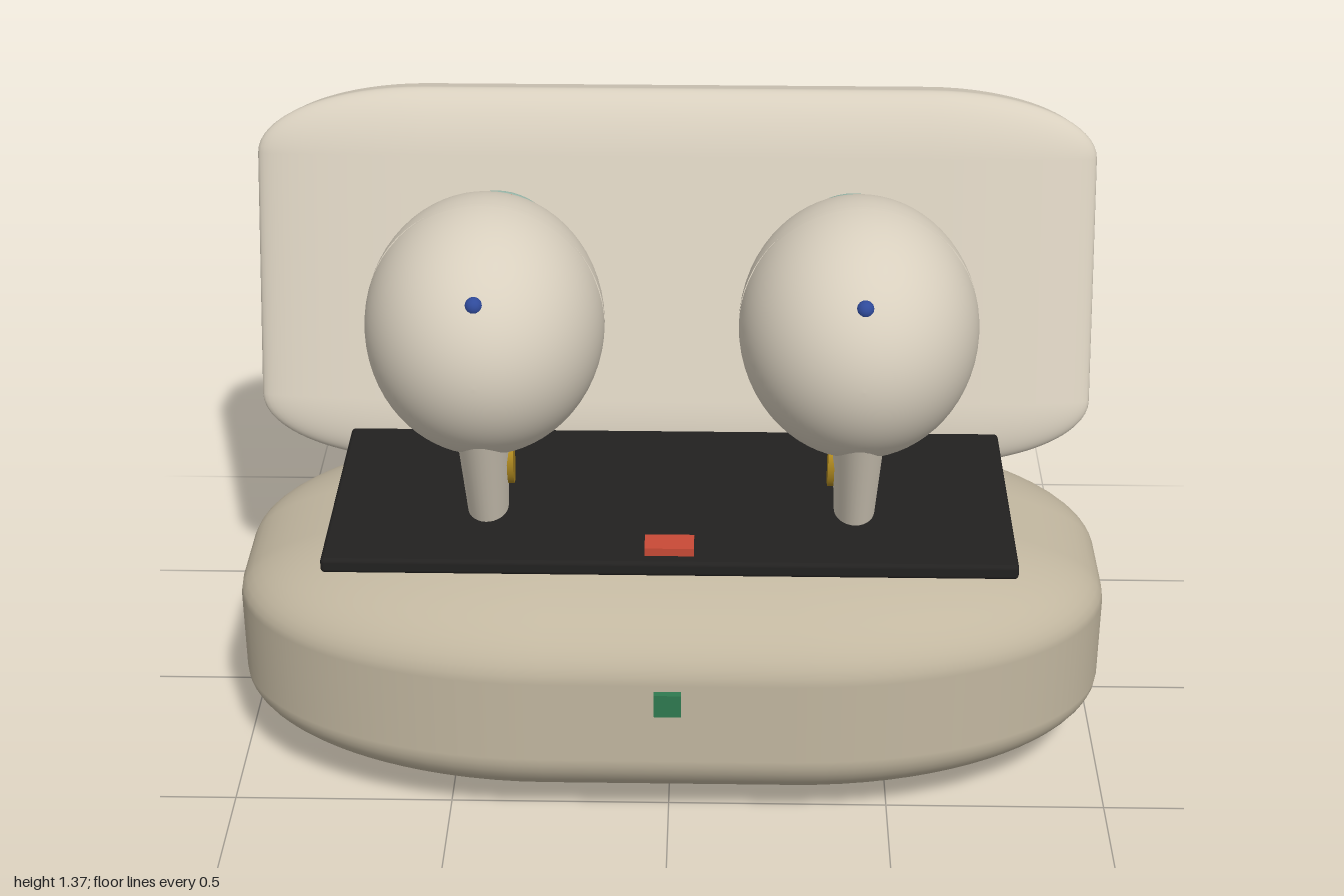
import * as THREE from 'three';
import { RoundedBoxGeometry } from 'three/addons/geometries/RoundedBoxGeometry.js';

const mat = (color, side = THREE.FrontSide) => new THREE.MeshStandardMaterial({ color, side });
const shell = mat(0xd8cfbe), lower = mat(0xc2b7a0), dark = mat(0x222120), red = mat(0xc84a36),
  green = mat(0x2f7a50), blue = mat(0x2f4a9a), gold = mat(0xb08a20), rubber = mat(0x9dbcae, THREE.DoubleSide);

function add(parent, name, geometry, material, x = 0, y = 0, z = 0) {
  const mesh = new THREE.Mesh(geometry, material);
  mesh.name = name;
  mesh.position.set(x, y, z);
  parent.add(mesh);
  return mesh;
}

// Box with a separate corner radius along each axis
function softBox(half, radius) {
  const g = new RoundedBoxGeometry(2, 2, 2, 10, 0.5);
  const p = g.attributes.position, n = g.attributes.normal, v = new THREE.Vector3();
  for (let i = 0; i < p.count; i++) {
    for (let a = 0; a < 3; a++) {
      const c = p.getComponent(i, a), m = Math.abs(c), inner = half[a] - radius[a];
      const out = m <= 0.5 ? (m / 0.5) * inner : inner + ((m - 0.5) / 0.5) * radius[a];
      p.setComponent(i, a, Math.sign(c) * out);
    }
    v.fromBufferAttribute(n, i);
    v.set(v.x / radius[0], v.y / radius[1], v.z / radius[2]).normalize();
    n.setXYZ(i, v.x, v.y, v.z);
  }
  return g;
}

// Half of the bud body, from the pole to the seam
function halfBud(sign) {
  const points = [];
  for (let i = 0; i <= 32; i++) {
    const a = -Math.PI / 2 + (i / 32) * (Math.PI / 2 - 0.018);
    points.push(new THREE.Vector2(Math.max(Math.cos(a), 0), Math.sin(a)));
  }
  const g = new THREE.LatheGeometry(points, 64);
  g.rotateX(sign * Math.PI / 2);
  return g.scale(0.268, 0.288, 0.322);
}

function makeBud(side) {
  const bud = new THREE.Group();
  bud.name = side > 0 ? 'leftEarbud' : 'rightEarbud';
  bud.position.set(side * 0.418, 1.052, 0.142);

  // Two body halves around a recessed seam
  add(bud, 'frontHalf', halfBud(-1), shell);
  add(bud, 'rearHalf', halfBud(1), shell);
  const seam = new THREE.CylinderGeometry(1, 1, 0.04, 64).rotateX(Math.PI / 2).scale(0.263, 0.283, 1);
  add(bud, 'seam', seam, shell);

  // Nozzle and hollow soft tip
  add(bud, 'nozzle', new THREE.CylinderGeometry(0.09, 0.09, 0.15, 40).rotateX(Math.PI / 2), shell, 0, 0, -0.355);
  const tip = [];
  for (let i = 0; i <= 16; i++) {
    const a = (i / 16) * Math.PI / 2;
    tip.push(new THREE.Vector2(0.152 * Math.sin(a), 0.088 * Math.cos(a)));
  }
  for (let i = 16; i >= 0; i--) {
    const a = (i / 16) * Math.PI / 2;
    tip.push(new THREE.Vector2(0.132 * Math.sin(a), 0.07 * Math.cos(a)));
  }
  add(bud, 'earTip', new THREE.LatheGeometry(tip, 48).rotateX(-Math.PI / 2), rubber, 0, 0, -0.376);

  // Leaning stem with a charging contact on its inner side
  const stem = new THREE.CylinderGeometry(0.062, 0.044, 0.36, 32).scale(1, 1, 1.5);
  add(bud, 'stem', stem, shell, 0, -0.302, 0.113).rotation.x = 0.305;
  const contact = new THREE.CylinderGeometry(0.055, 0.055, 0.014, 32).rotateZ(Math.PI / 2).scale(1, 1, 0.6);
  add(bud, 'contact', contact, gold, -side * 0.058, -0.297, 0.112).rotation.x = 0.305;

  // Sensor dots and side marker
  const dot = new THREE.SphereGeometry(0.02, 20, 14);
  add(bud, 'frontMicrophone', dot, blue, 0, 0.165, 0.253);
  add(bud, 'rearMicrophone', dot, blue, 0, -0.126, -0.276);
  add(bud, 'sideMarker', new THREE.BoxGeometry(0.1, 0.018, 0.02), red, 0, 0.2, -0.228);
  return bud;
}

export function createModel() {
  const model = new THREE.Group();
  model.name = 'earbudCase';

  // Case halves
  add(model, 'caseBase', softBox([1, 0.3, 0.515], [0.72, 0.2, 0.42]), lower, 0, 0.3, 0.105);
  const lid = add(model, 'caseLid', softBox([1, 0.452, 0.123], [0.4, 0.16, 0.065]), shell, 0, 0.922, -0.392);
  lid.rotation.x = -0.315;

  // Deck, lamp and button
  add(model, 'deck', new RoundedBoxGeometry(1.55, 0.036, 0.617, 3, 0.01), dark, 0, 0.603, 0.153);
  add(model, 'deckLamp', new THREE.BoxGeometry(0.11, 0.03, 0.062), red, 0, 0.625, 0.4);
  add(model, 'frontLamp', new THREE.BoxGeometry(0.06, 0.056, 0.03), green, 0, 0.358, 0.622);

  for (const side of [1, -1]) model.add(makeBud(side));
  return model;
}
